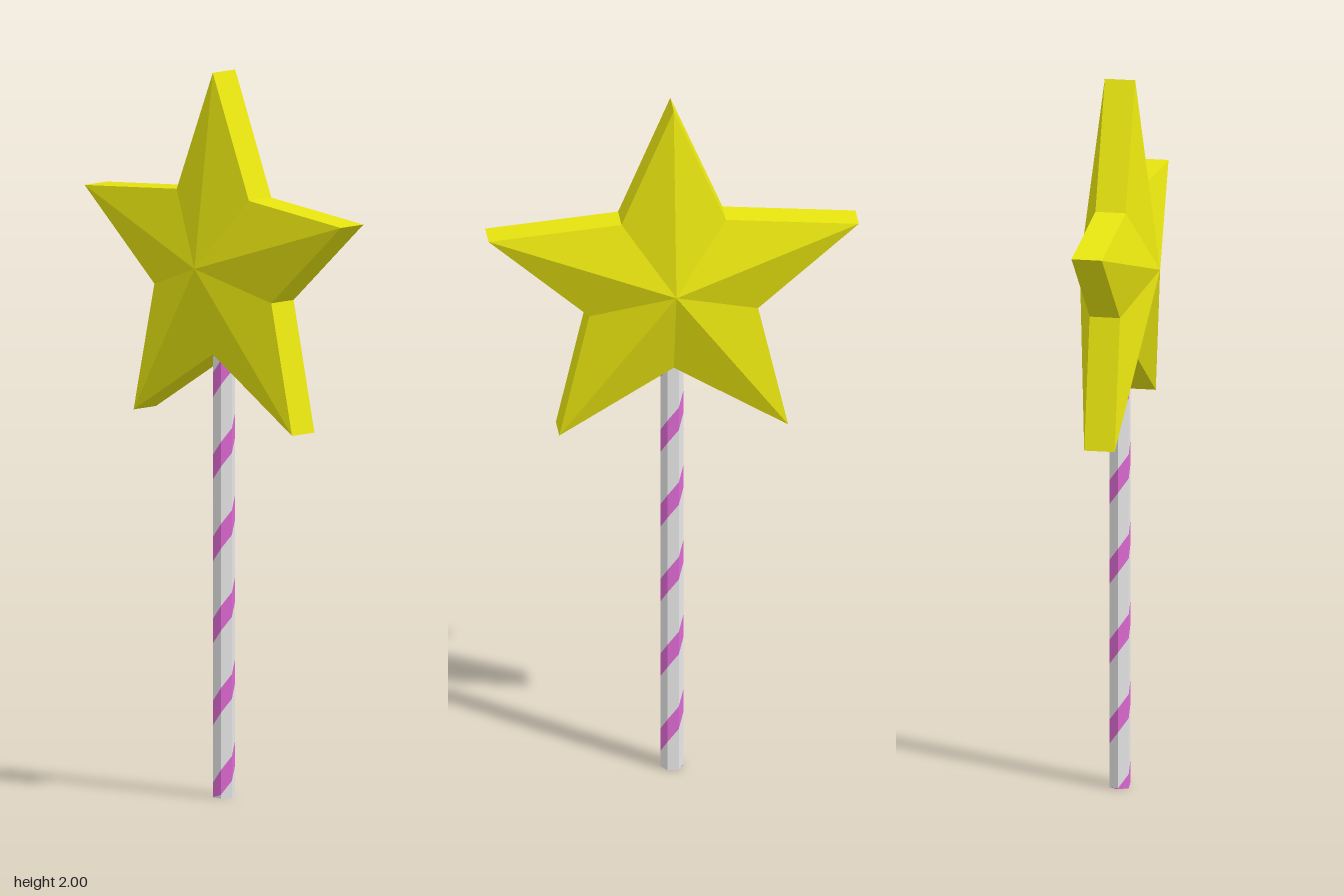
import * as THREE from 'three';

const yellow = new THREE.MeshStandardMaterial({ color: 0xe9e610, flatShading: true });
yellow.name = 'star yellow';
const white = new THREE.MeshStandardMaterial({ color: 0xebebeb, flatShading: true });
white.name = 'stick white';
const pink = new THREE.MeshStandardMaterial({ color: 0xde6ad4, flatShading: true });
pink.name = 'stripe pink';

function meshFrom(points, material, name) {
  const geometry = new THREE.BufferGeometry().setFromPoints(points);
  geometry.computeVertexNormals();
  const mesh = new THREE.Mesh(geometry, material);
  mesh.name = name;
  return mesh;
}

const quad = (out, a, b, c, d) => out.push(a, b, c, a, c, d);

// Five-pointed star: a raised centre on both faces and a straight rim
function createStar() {
  const outer = 0.533, inner = 0.243, rim = 0.042, peak = 0.111, cy = 1.467;
  const corner = (i, z) => {
    const a = Math.PI / 2 + (i * Math.PI) / 5;
    const r = i % 2 ? inner : outer;
    return new THREE.Vector3(r * Math.cos(a), cy + r * Math.sin(a), z);
  };
  const front = new THREE.Vector3(0, cy, peak);
  const back = new THREE.Vector3(0, cy, -peak);
  const points = [];
  for (let i = 0; i < 10; i++) {
    const a = corner(i, rim), b = corner(i + 1, rim);
    const c = corner(i + 1, -rim), d = corner(i, -rim);
    points.push(front, a, b, back, c, d);
    quad(points, a, d, c, b);
  }
  return meshFrom(points, yellow, 'star');
}

// Six-sided stick, each side divided into slanted bands of one rising spiral
function createStick() {
  const radius = 0.031, height = 1.25, pitch = 0.226, half = 0.034, start = 0.025;
  const shaft = [], stripes = [];
  const at = (phi, y) => new THREE.Vector3(radius * Math.sin(phi), y, radius * Math.cos(phi));
  const clamp = (y) => THREE.MathUtils.clamp(y, 0, height);

  for (let side = 0; side < 6; side++) {
    const p0 = ((side - 0.5) * Math.PI) / 3, p1 = p0 + Math.PI / 3;
    for (let turn = -2; turn < 7; turn++) {
      const y0 = start + pitch * (turn + p0 / (2 * Math.PI));
      const y1 = start + pitch * (turn + p1 / (2 * Math.PI));
      const band = (out, low, high) => {
        const a = clamp(y0 + low), b = clamp(y1 + low);
        const c = clamp(y1 + high), d = clamp(y0 + high);
        if (c > b || d > a) quad(out, at(p0, a), at(p1, b), at(p1, c), at(p0, d));
      };
      band(stripes, -half, half);
      band(shaft, half, pitch - half);
    }
    // End caps
    shaft.push(new THREE.Vector3(0, 0, 0), at(p1, 0), at(p0, 0));
    shaft.push(new THREE.Vector3(0, height, 0), at(p0, height), at(p1, height));
  }

  const stick = new THREE.Group();
  stick.name = 'stick';
  stick.add(meshFrom(shaft, white, 'shaft'), meshFrom(stripes, pink, 'spiralStripe'));
  return stick;
}

export function createModel() {
  const wand = new THREE.Group();
  wand.name = 'starWand';
  wand.add(createStar(), createStick());
  return wand;
}
